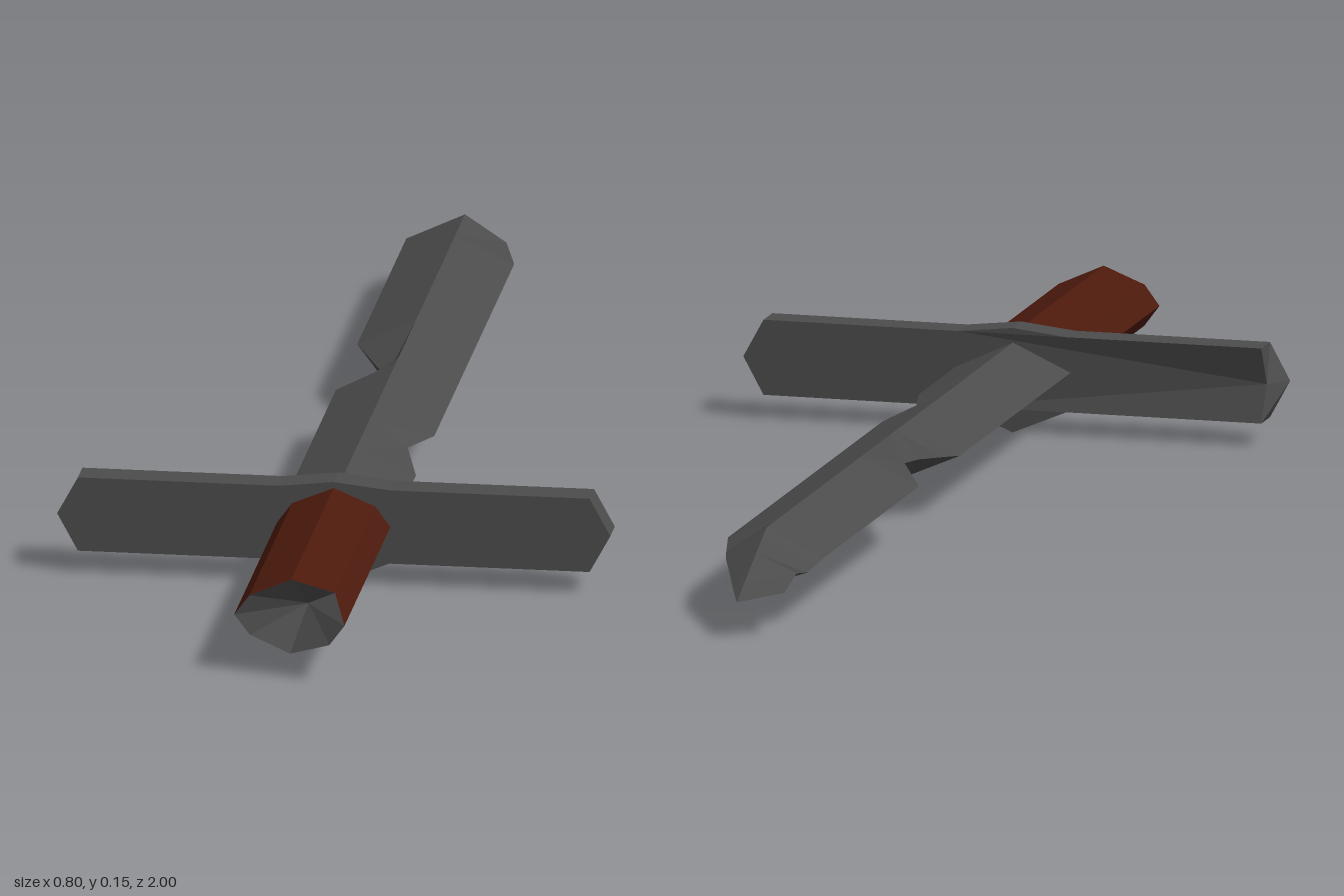
import * as THREE from 'three';

const steel = new THREE.MeshStandardMaterial({ color: 0x4c4c4c, flatShading: true, side: THREE.DoubleSide });
const leather = new THREE.MeshStandardMaterial({ color: 0x4d1a0d, flatShading: true, side: THREE.DoubleSide });

// Mesh from a list of corner triples, with faceted normals
function facetMesh(name, corners, material) {
  const geometry = new THREE.BufferGeometry();
  geometry.setAttribute('position', new THREE.Float32BufferAttribute(corners.flat(), 3));
  geometry.computeVertexNormals();
  const mesh = new THREE.Mesh(geometry, material);
  mesh.name = name;
  return mesh;
}

// Joins closed rings, listed from front (+z) to back
function loft(rings) {
  const corners = [];
  for (let i = 0; i + 1 < rings.length; i++) {
    const a = rings[i], b = rings[i + 1];
    a.forEach((p, j) => {
      const k = (j + 1) % a.length;
      corners.push(p, b[j], a[k], a[k], b[j], b[k]);
    });
  }
  return corners;
}

// Diamond-section blade; notches pull the cutting edges inwards
function createBlade() {
  // z, left outline x, right outline x
  const stations = [
    [0.5, -0.085, 0.085], [0.28, -0.085, 0.085], [0.15, -0.085, 0.055], [0.09, -0.085, 0.085],
    [-0.11, -0.085, 0.085], [-0.125, -0.065, 0.085], [-0.15, -0.035, 0.085], [-0.18, -0.022, 0.085],
    [-0.33, -0.085, 0.085], [-0.74, -0.085, 0.085], [-0.84, -0.085, 0.06], [-0.86, -0.081, 0.055],
    [-0.89, -0.075, 0.043], [-0.895, -0.06, 0.041], [-0.96, -0.06, 0.016], [-1, 0, 0],
  ];
  const rings = stations.map(([z, l, r]) => {
    const t = Math.max(0, (-0.84 - z) / 0.16); // slope down to the tip
    const edgeY = 0.092 - 0.037 * t, topY = 0.132 - 0.077 * t;
    return [[r, edgeY, z], [0, topY, z], [l, edgeY, z], [0, 0.055, z]];
  });
  return facetMesh('blade', loft(rings), steel);
}

// Eight-sided grip with a broken, hollow end
function createHandle() {
  const section = [
    [0.082, 0.09, 1], [0.06, 0.12, 0.94], [0, 0.145, 0.965], [-0.06, 0.12, 0.968],
    [-0.082, 0.09, 0.968], [-0.06, 0.06, 0.965], [0, 0.037, 0.975], [0.06, 0.06, 1],
  ];
  const base = section.map(([x, y]) => [x, y, 0.5]);
  const centre = [0.02, 0.1, 0.93];
  const cap = section.flatMap((p, j) => [centre, p, section[(j + 1) % section.length]]);
  const handle = new THREE.Group();
  handle.name = 'handle';
  handle.add(facetMesh('grip', loft([section, base]), leather), facetMesh('brokenEnd', cap, steel));
  return handle;
}

// Crossguard with pointed ends, one of them chipped at the back
function createGuard() {
  const outline = [
    [0.4, 0.09], [0.37, 0.145], [0.08, 0.145], [0, 0.154], [-0.08, 0.145], [-0.37, 0.145],
    [-0.4, 0.09], [-0.37, 0.035], [-0.08, 0.035], [0, 0.001], [0.08, 0.035], [0.37, 0.035],
  ];
  const shape = new THREE.Shape(outline.map(([x, y]) => new THREE.Vector2(x, y)));
  const geometry = new THREE.ExtrudeGeometry(shape, { depth: 0.047, bevelEnabled: false });
  geometry.translate(0, 0, 0.476);
  const pos = geometry.attributes.position;
  for (let i = 0; i < pos.count; i++) {
    if (pos.getX(i) < -0.39 && pos.getZ(i) < 0.5) pos.setXYZ(i, -0.374, 0.09, 0.492);
  }
  geometry.computeVertexNormals();
  const guard = new THREE.Mesh(geometry, steel);
  guard.name = 'crossguard';
  return guard;
}

export function createModel() {
  const model = new THREE.Group();
  model.name = 'brokenSword';
  model.add(createBlade(), createGuard(), createHandle());
  return model;
}
